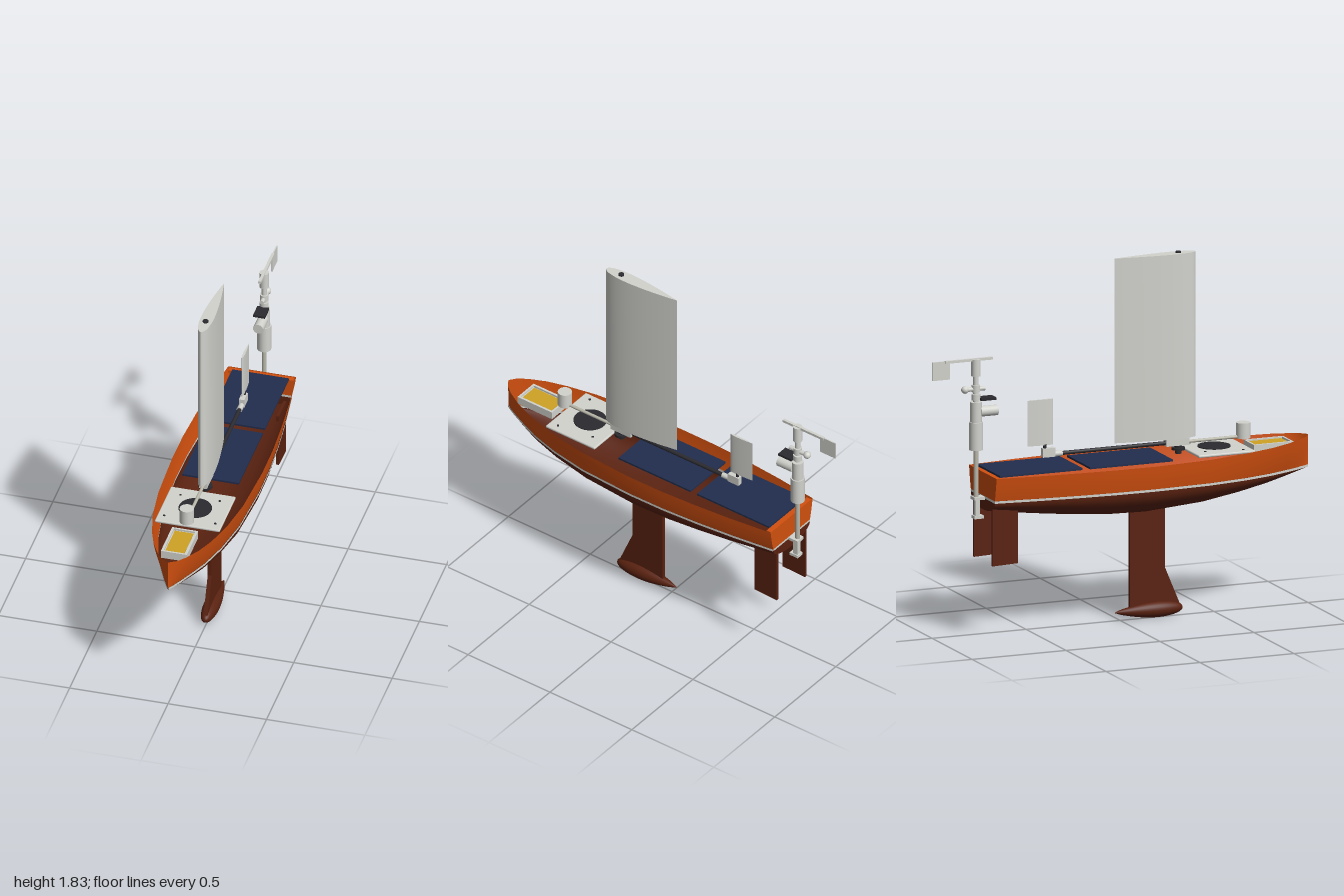
import * as THREE from 'three';
import { toCreasedNormals } from 'three/addons/utils/BufferGeometryUtils.js';
import { RoundedBoxGeometry } from 'three/addons/geometries/RoundedBoxGeometry.js';

const mat = (name, color, side = THREE.FrontSide) => {
  const m = new THREE.MeshStandardMaterial({ color, side });
  m.name = name;
  return m;
};

export function createModel() {
  const orange = mat('orange topsides', 0xd2500f, THREE.DoubleSide);
  const brown = mat('antifouling brown', 0x5a2210, THREE.DoubleSide);
  const white = mat('off white', 0xd2d3cd, THREE.DoubleSide);
  const navy = mat('solar navy', 0x222e4e);
  const yellow = mat('yellow', 0xcfa325);
  const dark = mat('dark grey', 0x2b2b30);
  const beige = mat('pale beige', 0xbab8aa);

  const model = new THREE.Group();
  const add = (name, geo, material, x = 0, y = 0, z = 0) => {
    const mesh = new THREE.Mesh(geo, material);
    mesh.name = name;
    mesh.position.set(x, y, z);
    model.add(mesh);
    return mesh;
  };
  // Box given by its ranges in y and z, centred on x
  const box = (name, m, w, y0, y1, z0, z1, x = 0) =>
    add(name, new THREE.BoxGeometry(w, y1 - y0, Math.abs(z1 - z0)), m, x, (y0 + y1) / 2, (z0 + z1) / 2);
  const post = (name, m, r, y0, y1, z, x = 0, n = 24) =>
    add(name, new THREE.CylinderGeometry(r, r, y1 - y0, n), m, x, (y0 + y1) / 2, z);
  const rod = (name, m, r, z0, z1, y, x = 0) =>
    add(name, new THREE.CylinderGeometry(r, r, Math.abs(z1 - z0), 20).rotateX(Math.PI / 2), m, x, y, (z0 + z1) / 2);

  // Surface through rows of points
  const loft = (rows) => {
    const n = rows[0].length, index = [];
    for (let i = 0; i < rows.length - 1; i++)
      for (let j = 0; j < n - 1; j++) {
        const a = i * n + j, c = a + n;
        index.push(a, a + 1, c, a + 1, c + 1, c);
      }
    const g = new THREE.BufferGeometry();
    g.setAttribute('position', new THREE.Float32BufferAttribute(rows.flat(2), 3));
    g.setIndex(index);
    g.computeVertexNormals();
    return g;
  };

  // Hull stations: z, half width at gunwale, half width at waterline, keel y, gunwale y
  const stations = [
    [1, 0, 0, 0.688, 0.85], [0.975, 0.038, 0.015, 0.682, 0.848], [0.93, 0.072, 0.038, 0.672, 0.845],
    [0.85, 0.115, 0.075, 0.653, 0.84], [0.75, 0.151, 0.117, 0.631, 0.834], [0.6, 0.188, 0.16, 0.602, 0.828],
    [0.4, 0.215, 0.195, 0.57, 0.82], [0.1, 0.229, 0.212, 0.548, 0.815], [-0.1, 0.228, 0.21, 0.553, 0.815],
    [-0.3, 0.217, 0.198, 0.571, 0.815], [-0.5, 0.2, 0.179, 0.595, 0.815], [-0.73, 0.172, 0.15, 0.627, 0.815],
  ];
  const LOW = 0.686, HIGH = 0.698;
  const bottomRow = ([z, , w, k]) => Array.from({ length: 25 }, (_, j) => {
    const t = (j / 24) * Math.PI;
    return [w * Math.cos(t), LOW - Math.max(LOW - k, 0) * Math.sin(t), z];
  });
  const sideRow = (s, [z, wt, w, , top]) => {
    const row = Array.from({ length: 7 }, (_, j) => {
      const u = 1 - j / 6;
      return [s * (w + (wt - w) * (1.35 * u - 0.35 * u * u)), HIGH + (top - HIGH) * u, z];
    });
    return s > 0 ? row : row.reverse();
  };
  const stripeRow = (s, [z, , w]) => {
    const row = [[s * (w + 0.002), HIGH, z], [s * (w + 0.002), LOW, z]];
    return s > 0 ? row : row.reverse();
  };
  add('hullBottom', loft(stations.map(bottomRow)), brown);
  for (const s of [1, -1]) {
    add('hullSide', loft(stations.map((p) => sideRow(s, p))), orange);
    add('waterlineStripe', loft(stations.map((p) => stripeRow(s, p))), white);
  }

  // Transom in the hull colours
  const end = stations[stations.length - 1];
  const face = (name, pts, m) => add(name,
    new THREE.ShapeGeometry(new THREE.Shape(pts.map((p) => new THREE.Vector2(p[0], p[1])))).rotateY(Math.PI), m, 0, 0, end[0]);
  face('transomUpper', [...sideRow(1, end), ...sideRow(-1, end)], orange);
  face('transomLower', bottomRow(end), brown);
  const w = end[2];
  face('transomStripe', [[w, HIGH], [w, LOW], [-w, LOW], [-w, HIGH]], white);
  box('sternRim', orange, 0.33, 0.8, 0.812, -0.728, -0.7);

  // Deck panels and hatch
  box('frontSolarPanel', navy, 0.288, 0.812, 0.822, -0.22, 0.22);
  box('rearSolarPanel', navy, 0.288, 0.812, 0.822, -0.7, -0.26);
  add('hatchPlate', new RoundedBoxGeometry(0.33, 0.014, 0.3, 3, 0.006), white, 0, 0.827, 0.5);
  post('hatchCover', dark, 0.082, 0.83, 0.838, 0.5, 0, 40);
  for (const [x, z] of [[-0.1, 0.41], [0.1, 0.41], [-0.13, 0.6], [0.13, 0.6]])
    post('hatchBolt', dark, 0.006, 0.83, 0.837, z, x, 10);

  // Bow tray
  box('bowTray', white, 0.11, 0.8, 0.826, 0.69, 0.89);
  for (const x of [-0.06, 0.06]) box('trayRim', white, 0.012, 0.795, 0.836, 0.685, 0.895, x);
  for (const z of [0.685, 0.885]) box('trayRim', white, 0.12, 0.795, 0.836, z, z + 0.01);
  box('bowPanel', yellow, 0.096, 0.824, 0.83, 0.703, 0.877);

  // Upright symmetric aerofoil from leading edge z0 to trailing edge z1
  const foil = (z0, z1, half, height) => {
    const side = Array.from({ length: 19 }, (_, i) => {
      const u = (1 - Math.cos((Math.PI * i) / 18)) / 2;
      const t = 10 * (0.2969 * Math.sqrt(u) - 0.126 * u - 0.3516 * u ** 2 + 0.2843 * u ** 3 - 0.1036 * u ** 4);
      return new THREE.Vector2(half * Math.max(t, 0), -(z0 + (z1 - z0) * u));
    });
    const mirror = side.slice(1, -1).reverse().map((p) => new THREE.Vector2(-p.x, p.y));
    const g = new THREE.ExtrudeGeometry(new THREE.Shape([...side, ...mirror]), { depth: height, bevelEnabled: false });
    return toCreasedNormals(g.rotateX(-Math.PI / 2), 0.7);
  };
  // Flat blade from a (z, y) outline
  const blade = (pts, t) => new THREE.ExtrudeGeometry(
    new THREE.Shape(pts.map((p) => new THREE.Vector2(...p))), { depth: t, bevelEnabled: false })
    .rotateY(-Math.PI / 2).translate(t / 2, 0, 0);

  // Wing sail on its mast
  add('wingSail', foil(0.4, -0.03, 0.033, 0.928), white, 0, 0.895, 0);
  post('mastCap', dark, 0.014, 1.82, 1.83, 0.31);
  post('mast', dark, 0.016, 0.815, 0.9, 0.31);
  post('mastBearing', dark, 0.034, 0.834, 0.846, 0.31);

  // Boom with counterweight and tail
  box('boomBlock', white, 0.04, 0.857, 0.893, 0.24, 0.36);
  rod('boomFront', beige, 0.008, 0.34, 0.63, 0.87);
  rod('boomRear', dark, 0.01, -0.33, 0.25, 0.872);
  post('counterweight', white, 0.035, 0.862, 0.94, 0.655, 0, 32);
  rod('tailSocket', white, 0.014, -0.31, -0.37, 0.872);
  box('tailBracket', white, 0.028, 0.86, 0.905, -0.415, -0.35);
  post('tailPivot', dark, 0.008, 0.9, 0.925, -0.4);
  add('tailFin', foil(-0.358, -0.492, 0.006, 0.23), white, 0, 0.92, 0);

  // Keel fin and bulb
  add('keelFin', blade([[0.235, 0.56], [0.235, 0.25], [0.315, 0.06], [0.05, 0.06], [0.05, 0.56]], 0.02), brown);
  const bulb = [[0, -0.03], [0.011, 0], [0.023, 0.05], [0.035, 0.12], [0.04, 0.19], [0.037, 0.25], [0.027, 0.3], [0.014, 0.325], [0, 0.332]];
  const bulbCurve = new THREE.SplineCurve(bulb.map((p) => new THREE.Vector2(...p))).getPoints(28)
    .map((p) => new THREE.Vector2(Math.max(p.x, 0), p.y));
  add('keelBulb', new THREE.LatheGeometry(bulbCurve, 28).rotateX(Math.PI / 2), brown, 0, 0.043, 0);

  // Twin rudders
  for (const x of [-0.115, 0.115])
    add('rudder', blade([[-0.595, 0.66], [-0.595, 0.37], [-0.73, 0.365], [-0.73, 0.66]], 0.014), brown, x);

  // Stern bracket
  const Z = -0.767;
  box('bracketTop', white, 0.05, 0.68, 0.695, -0.785, -0.725);
  box('bracketBottom', white, 0.04, 0.585, 0.6, -0.782, -0.732);
  box('bracketSpine', white, 0.028, 0.595, 0.685, -0.775, -0.75);
  // Wind sensor mast
  post('sensorPost', beige, 0.012, 0.69, 0.94, Z);
  post('sensorHousing', white, 0.035, 0.93, 1.07, Z);
  post('housingCollar', white, 0.029, 1.07, 1.17, Z);
  rod('sideSensor', white, 0.026, -0.655, -0.745, 1.12);
  box('sensorTray', dark, 0.06, 1.178, 1.19, -0.75, -0.67);
  post('upperPost', white, 0.013, 1.16, 1.32, Z);
  post('postCollar', white, 0.022, 1.18, 1.21, Z);
  rod('crossClamp', white, 0.011, -0.72, -0.83, 1.235);
  add('clampBall', new THREE.SphereGeometry(0.019, 20, 14), white, 0, 1.235, -0.825);
  post('clampCollar', white, 0.021, 1.22, 1.255, Z);
  post('vaneHub', white, 0.023, 1.3, 1.385, Z);
  box('vaneArm', white, 0.014, 1.376, 1.389, -0.93, -0.68);
  box('vaneFlag', white, 0.006, 1.295, 1.388, -1, -0.905);
  return model;
}
